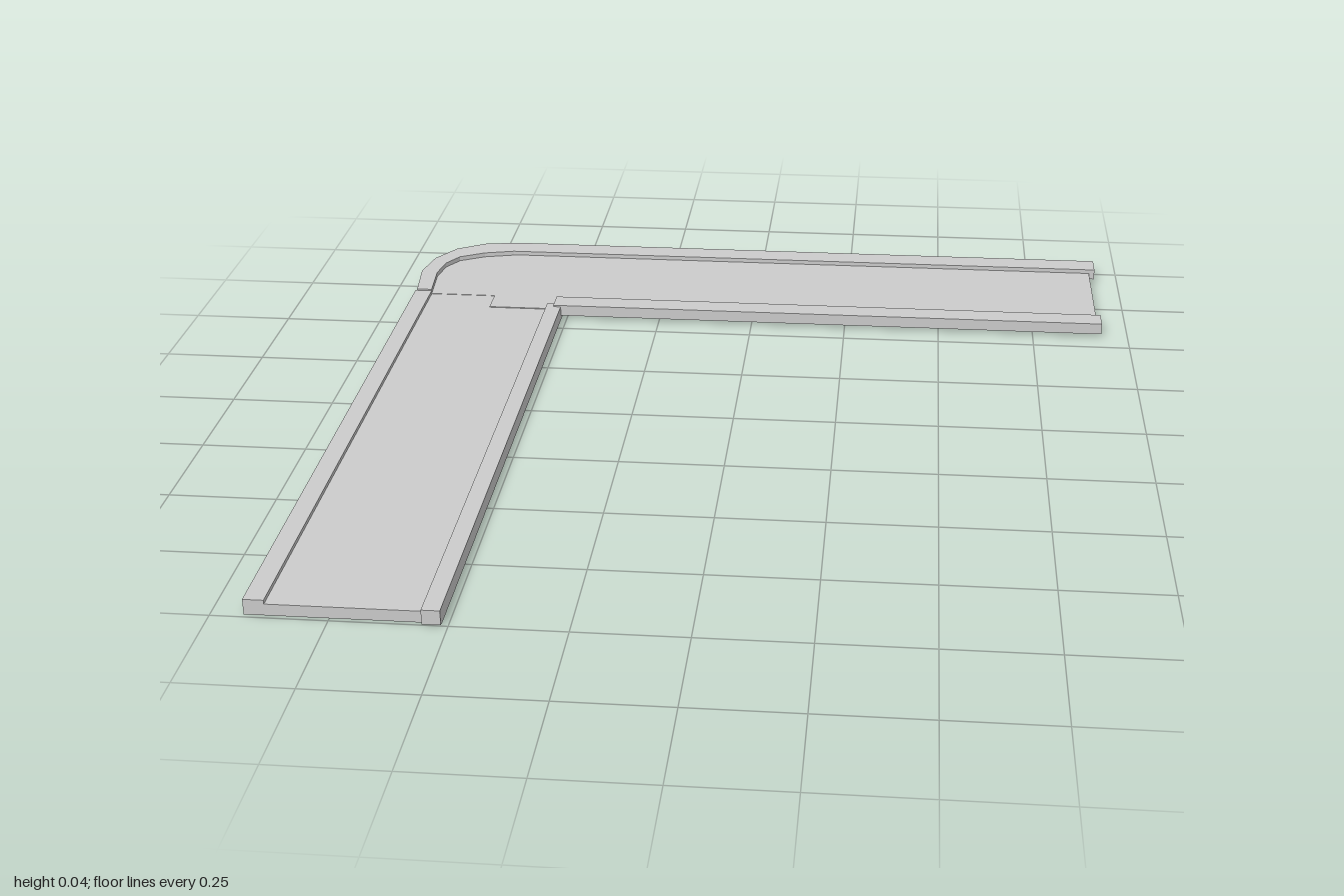
import * as THREE from 'three';

const material = new THREE.MeshStandardMaterial({ color: 0xcccccc, flatShading: true });

export function createModel() {
  const group = new THREE.Group();
  group.name = 'cornerRoad';

  // Flat plate from a plan outline of [x, z] points, between two heights
  function plate(name, points, y0, y1) {
    const shape = new THREE.Shape(points.map(([x, z]) => new THREE.Vector2(x, -z)));
    const geometry = new THREE.ExtrudeGeometry(shape, { depth: y1 - y0, bevelEnabled: false });
    geometry.rotateX(-Math.PI / 2).translate(0, y0, 0);
    const mesh = new THREE.Mesh(geometry, material);
    mesh.name = name;
    group.add(mesh);
  }
  const strip = (name, x0, x1, z0, z1, y0, y1) =>
    plate(name, [[x0, z0], [x1, z0], [x1, z1], [x0, z1]], y0, y1);

  // Long arm towards the front: road bed and its two kerbs
  strip('frontRoadBed', -0.93, -0.515, -0.75, 0.99, 0, 0.027);
  strip('frontOuterKerb', -0.93, -0.885, -0.64, 0.99, 0.002, 0.036);
  strip('frontInnerKerb', -0.555, -0.515, -0.58, 1.0, 0.002, 0.036);

  // Side arm: road bed and its two kerbs
  strip('sideRoadBed', -0.71, 0.92, -0.998, -0.562, 0.01, 0.029);
  strip('sideOuterKerb', -0.71, 0.935, -1.0, -0.935, 0.012, 0.04);
  strip('sideInnerKerb', -0.535, 0.93, -0.62, -0.56, 0.012, 0.04);

  // Rounded corner: bed under a curved kerb
  const outer = [[-0.925, -0.64], [-0.94, -0.77], [-0.922, -0.865], [-0.875, -0.94],
    [-0.8, -0.985], [-0.71, -1.0]];
  const inner = [[-0.885, -0.64], [-0.895, -0.76], [-0.885, -0.83], [-0.855, -0.88],
    [-0.79, -0.915], [-0.71, -0.935]];
  plate('cornerRoadBed', [...outer, [-0.71, -0.64]], 0.01, 0.028);
  plate('cornerKerb', [...outer, ...inner.reverse()], 0.012, 0.04);

  return group;
}
